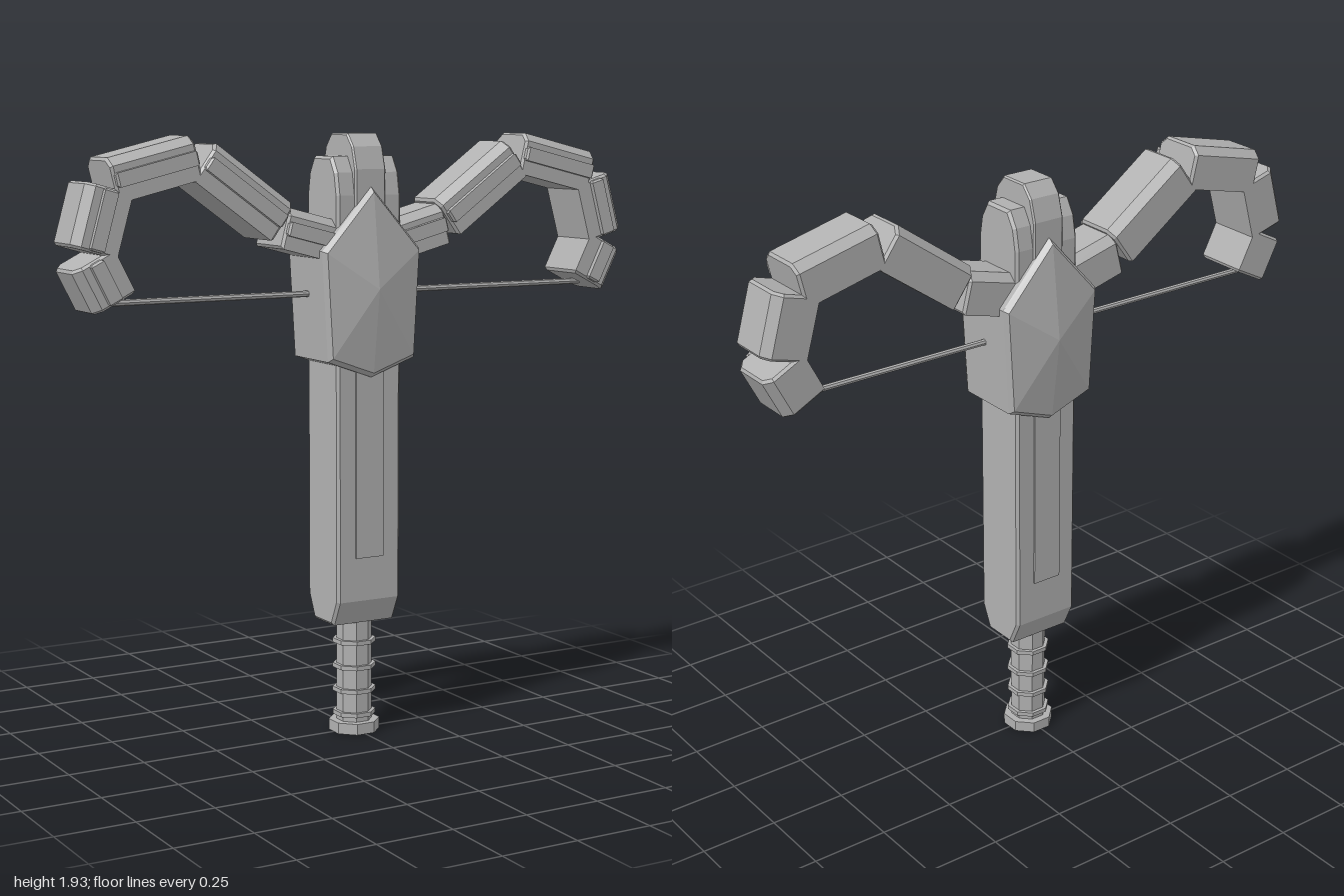
import * as THREE from 'three';
import { ConvexGeometry } from 'three/addons/geometries/ConvexGeometry.js';

const grey = new THREE.MeshStandardMaterial({ color: 0xb0b0b0, flatShading: true });
grey.name = 'stone grey';

function add(parent, name, geometry) {
  const mesh = new THREE.Mesh(geometry, grey);
  mesh.name = name;
  parent.add(mesh);
  return mesh;
}

// Extrudes a (z, y) profile along x, centred, with chamfered ends
function extrudeX(points, length, chamfer) {
  const shape = new THREE.Shape(points.map(([z, y]) => new THREE.Vector2(z, y)));
  const depth = length - 2 * chamfer;
  const geometry = new THREE.ExtrudeGeometry(shape, {
    depth, bevelEnabled: true, bevelSegments: 1,
    bevelThickness: chamfer, bevelSize: chamfer, bevelOffset: -chamfer,
  });
  geometry.translate(0, 0, -depth / 2);
  geometry.rotateY(Math.PI / 2);
  return geometry;
}

// Completes half a profile (z > 0, bottom to top) by mirroring it
const mirrored = (half) => [...half, ...half.slice().reverse().map(([z, y]) => [-z, y])];

function octagon(radius, height, y) {
  const geometry = new THREE.CylinderGeometry(radius, radius, height, 8);
  geometry.rotateY(Math.PI / 8);
  geometry.translate(0, y, 0);
  return geometry;
}

function addArmSegment(parent, [x0, y0], [x1, y1], width) {
  const h = width / 2;
  const length = Math.hypot(x1 - x0, y1 - y0);
  const segment = new THREE.Group();
  segment.name = 'armSegment';
  segment.position.set((x0 + x1) / 2, (y0 + y1) / 2, 0);
  segment.rotation.z = Math.atan2(y1 - y0, x1 - x0);
  // outer edges are chamfered, inner edges square
  add(segment, 'armBlock', extrudeX(mirrored([[0.09, -h], [0.09, h - 0.025], [0.062, h]]), length, 0.008));
  const trim = add(segment, 'armTrim', extrudeX(mirrored([[0.02, -0.022], [0.02, 0.022]]), length - 0.01, 0.006));
  trim.position.z = 0.086;
  parent.add(segment);
}

export function createModel() {
  const model = new THREE.Group();
  model.name = 'bowHammer';

  // Handle with grip rings and pommel
  const handle = new THREE.Group();
  handle.name = 'handle';
  model.add(handle);
  add(handle, 'grip', octagon(0.058, 0.40, 0.20));
  add(handle, 'pommel', octagon(0.083, 0.036, 0.018));
  for (const y of [0.06, 0.138, 0.217, 0.3]) add(handle, 'gripRing', octagon(0.07, 0.014, y));

  // Long shaft, tapered at the bottom and the top
  add(model, 'shaft', extrudeX(mirrored([
    [0.06, 0.37], [0.098, 0.45], [0.098, 1.74], [0.085, 1.81], [0.055, 1.86],
  ]), 0.23, 0.009));

  // Raised panels on front and back of the shaft
  const panel = add(model, 'shaftPanel', new THREE.BoxGeometry(0.1, 0.8, 0.207));
  panel.position.y = 0.99;

  // Crest above the shaft
  add(model, 'crest', extrudeX(mirrored([
    [0.105, 1.6], [0.105, 1.82], [0.085, 1.89], [0.05, 1.93],
  ]), 0.11, 0.005));

  // Faceted gem enclosing the hub, pointed on both faces
  const outline = [[0, 1.765], [0.175, 1.57], [0.155, 1.225], [0, 1.17], [-0.155, 1.225], [-0.175, 1.57]];
  const points = [];
  for (const side of [-1, 1]) {
    for (const [x, y] of outline) {
      points.push(new THREE.Vector3(x, y, side * 0.108));
      points.push(new THREE.Vector3(x * 0.94, 1.46 + (y - 1.46) * 0.95, side * 0.126));
    }
    points.push(new THREE.Vector3(0, 1.45, side * 0.162));
  }
  add(model, 'gem', new ConvexGeometry(points));

  // Curved arms made of straight blocks: start, end, width
  const segments = [
    [[0.08, 1.59], [0.29, 1.645], 0.13],
    [[0.295, 1.66], [0.558, 1.85], 0.14],
    [[0.583, 1.863], [0.857, 1.797], 0.135],
    [[0.866, 1.778], [0.92, 1.588], 0.145],
    [[0.923, 1.567], [0.856, 1.436], 0.143],
  ];
  const flip = ([x, y]) => [-x, y];
  const leftArm = new THREE.Group();
  const rightArm = new THREE.Group();
  leftArm.name = 'leftArm';
  rightArm.name = 'rightArm';
  model.add(leftArm, rightArm);
  for (const [start, end, width] of segments) {
    addArmSegment(leftArm, start, end, width);
    addArmSegment(rightArm, flip(end), flip(start), width);
  }

  // Bowstring between the arm tips
  const string = new THREE.CylinderGeometry(0.01, 0.01, 1.74, 8);
  string.rotateZ(Math.PI / 2);
  add(model, 'bowstring', string).position.y = 1.432;

  return model;
}
